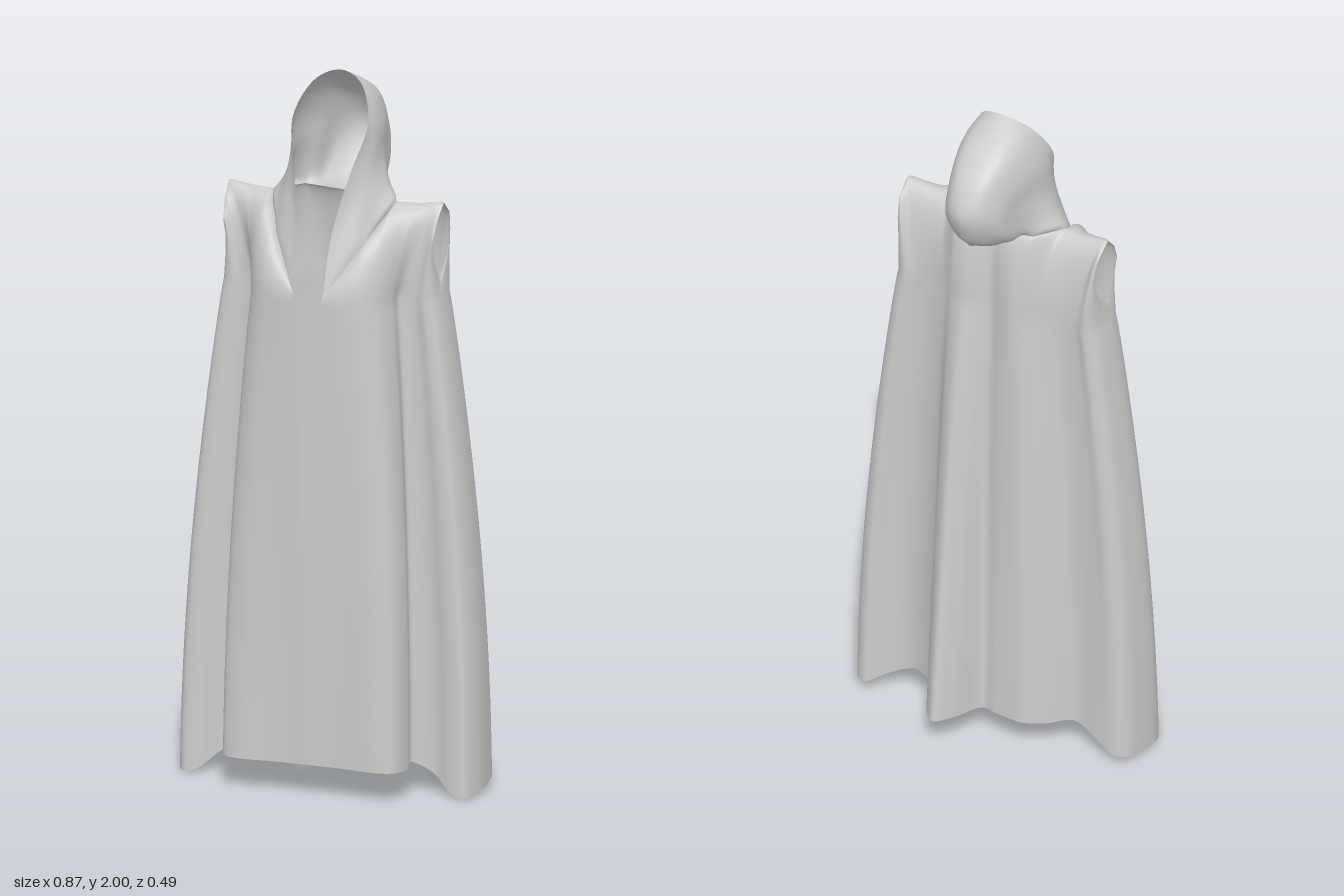
import * as THREE from 'three';

const V = (p) => new THREE.Vector3(...p);
const { lerp, smoothstep } = THREE.MathUtils;
const spline = (pts) => new THREE.CatmullRomCurve3(pts);
const material = new THREE.MeshStandardMaterial({ color: 0xcccccc, side: THREE.DoubleSide });

// Point on a chain of straight segments, u in 0..1
function chain(pts, u) {
  const last = pts.length - 1;
  const k = Math.min(Math.floor(u * last + 1e-6), last - 1);
  return pts[k].clone().lerp(pts[k + 1], u * last - k);
}

// Smooth cloth sheet from a rule: point(u, v), u and v in 0..1
function sheet(name, point, nu, nv) {
  const pos = [], index = [];
  for (let j = 0; j <= nv; j++) {
    for (let i = 0; i <= nu; i++) pos.push(...point(i / nu, j / nv).toArray());
  }
  for (let j = 0; j < nv; j++) {
    for (let i = 0; i < nu; i++) {
      const a = j * (nu + 1) + i, b = a + 1, c = a + nu + 1, d = c + 1;
      index.push(a, b, d, a, d, c);
    }
  }
  const g = new THREE.BufferGeometry();
  g.setAttribute('position', new THREE.Float32BufferAttribute(pos, 3));
  g.setIndex(index);
  g.computeVertexNormals();
  const mesh = new THREE.Mesh(g, material);
  mesh.name = name;
  return mesh;
}

// Half outlines from the front edge, round the side, to the middle of the back
const HEM = [[0, .235], [.1, .235], [.2, .243], [.25, .225], [.266, .16], [.25, .1], [.31, .085],
  [.37, .108], [.41, .108], [.432, .05], [.43, -.02], [.415, -.08], [.38, -.1], [.33, -.06],
  [.25, -.05], [.17, -.1], [.13, -.2], [.085, -.245], [.045, -.2], [0, -.12]];
const CHEST = [[.04, .24], [.09, .235], [.15, .215], [.185, .18], [.205, .13], [.21, .09], [.25, .08],
  [.28, .088], [.305, .078], [.317, .045], [.317, 0], [.305, -.045], [.28, -.06], [.25, -.05],
  [.2, -.05], [.15, -.065], [.11, -.09], [.075, -.098], [.04, -.09], [0, -.075]];
// Neckline, shoulder seam, armhole, shoulder seam again, back of the neck
const TOP = [[.045, 1.43, .235], [.08, 1.486, .196], [.13, 1.567, .14], [.18, 1.655, .03],
  [.24, 1.655, .022], [.315, 1.665, .02], [.312, 1.625, .06], [.307, 1.57, .085], [.304, 1.5, .065],
  [.305, 1.45, .025], [.304, 1.5, -.025], [.307, 1.57, -.048], [.312, 1.625, -.03], [.315, 1.665, .02],
  [.24, 1.655, .022], [.18, 1.655, .03], [.12, 1.655, -.05], [.07, 1.652, -.052],
  [.035, 1.65, -.052], [0, 1.648, -.05]];
// The back fold hangs on one side only
const FLAT_BACK = { 15: [-.19, -.1], 16: [-.13, -.13], 17: [-.09, -.13], 18: [-.04, -.125] };

const CHEST_Y = 1.4, SLIT_Y = 0.33, SPLIT = 0.75;

// The hem dips at the sides, most of all towards the front
function hemPoint(x, z) {
  const dip = smoothstep(Math.abs(x), 0.25, 0.4) * (0.06 + (z + 0.1) * 0.125);
  return [x, 0.09 - dip, z];
}

// Full outline: one half followed by its mirror image
function mirrored(half, other = half) {
  const back = other.slice(0, -1).reverse().map(([x, y, z]) => [-x, y, z]);
  return [...half, ...back].map(V);
}

function createRobe() {
  const otherHem = HEM.map(([x, z], i) => {
    if (FLAT_BACK[i]) return hemPoint(-FLAT_BACK[i][0], FLAT_BACK[i][1]);
    const shift = i > 8 && i < 13 ? 0.035 : i > 6 && i < 9 ? 0.018 : 0;
    return hemPoint(x, z + shift);
  });
  const hem = spline(mirrored(HEM.map(([x, z]) => hemPoint(x, z)), otherHem));
  const chest = spline(mirrored(CHEST.map(([x, z]) => [x, CHEST_Y, z])));
  const top = mirrored(TOP);

  return sheet('robe', (u, v) => {
    const c = chest.getPoint(u);
    if (v <= SPLIT) {
      // Skirt: flares from the chest down to the hem
      const h = hem.getPoint(u), t = 1 - v / SPLIT;
      const y = lerp(c.y, h.y, t);
      let x = lerp(c.x, h.x, Math.sin(t * Math.PI / 2) ** 0.9);
      // Front edges meet below the slit
      if (u === 0 || u === 1) x = c.x * Math.max(0, (y - SLIT_Y) / (CHEST_Y - SLIT_Y));
      return V([x, y, lerp(c.z, h.z, t ** 0.88)]);
    }
    // Yoke: arches over to neckline, shoulders and armholes
    const s = (v - SPLIT) / (1 - SPLIT), angle = s * Math.PI / 2;
    const e = chain(top, u);
    return V([lerp(c.x, e.x, s), lerp(c.y, e.y, Math.sin(angle)), lerp(c.z, e.z, 1 - Math.cos(angle))]);
  }, (top.length - 1) * 6, 56);
}

// Hood half hoops, from the face opening to the nape; each runs from neckline to crown
const HOOPS = [
  [TOP[0], [.05, 1.59, .185], [.085, 1.76, .125], [.11, 1.88, .065], [.065, 1.975, .005], [0, 2, -.015]],
  [TOP[2], [.123, 1.66, .11], [.122, 1.76, .06], [.117, 1.87, .01], [.07, 1.955, -.055], [0, 1.972, -.075]],
  [TOP[3], [.15, 1.7, .015], [.125, 1.77, -.01], [.11, 1.86, -.06], [.065, 1.925, -.12], [0, 1.935, -.135]],
  [TOP[16], [.11, 1.695, -.07], [.1, 1.76, -.1], [.088, 1.83, -.145], [.05, 1.87, -.19], [0, 1.878, -.2]],
  [TOP[17], [.085, 1.66, -.1], [.086, 1.7, -.15], [.075, 1.75, -.19], [.042, 1.785, -.228], [0, 1.79, -.242]],
  [TOP[18], [.045, 1.645, -.09], [.05, 1.652, -.13], [.045, 1.672, -.17], [.025, 1.7, -.207], [0, 1.712, -.22]],
  [TOP[19], [0, 1.642, -.09], [0, 1.645, -.12], [0, 1.65, -.155], [0, 1.66, -.178], [0, 1.672, -.195]],
];

function createHood() {
  const hoops = HOOPS.map((h) => spline(mirrored(h)));
  return sheet('hood', (u, v) => {
    const across = hoops.map((h) => h.getPoint(v));
    // The bottom edges follow the neckline exactly
    return v === 0 || v === 1 ? chain(across, u) : spline(across).getPoint(u);
  }, 36, 60);
}

export function createModel() {
  const group = new THREE.Group();
  group.name = 'hoodedCloak';
  group.add(createRobe(), createHood());
  return group;
}
